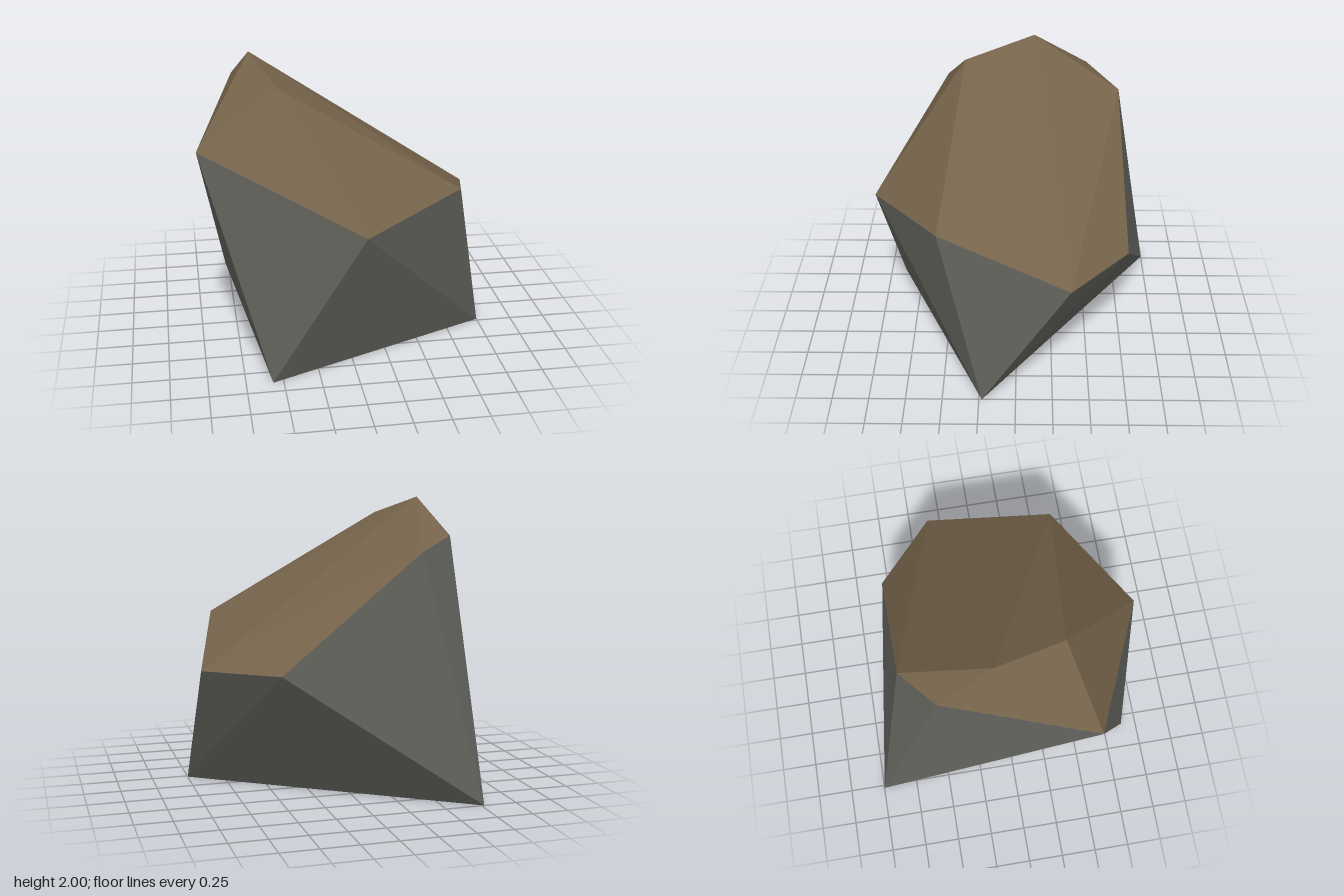
import * as THREE from 'three';

// Corners of the boulder: ground triangle, shoulder ring, crown
const corners = {
  baseBack: [-0.77, 0, -1], baseFront: [-0.57, 0, 0.89], baseSide: [1, 0, 0.23],
  west: [-1, 1.52, 0.53], south: [0.04, 1.05, 1], southEast: [0.76, 1.16, 0.52],
  east: [0.99, 0.88, -0.36], northEast: [0.54, 0.89, -0.76],
  north: [-0.42, 1.66, -0.72], northWest: [-0.7, 1.75, -0.5],
  peak: [-0.6, 2, -0.12], brow: [-0.45, 1.87, 0.37],
};

// Flat-shaded facets, each wound so that it faces away from the middle
function facets(name, triangles, material) {
  const middle = new THREE.Vector3(0, 0.9, 0);
  const points = [];
  for (const names of triangles) {
    const [a, b, c] = names.split(' ').map((n) => new THREE.Vector3(...corners[n]));
    const normal = b.clone().sub(a).cross(c.clone().sub(a));
    points.push(...(normal.dot(a.clone().sub(middle)) > 0 ? [a, b, c] : [a, c, b]));
  }
  const geometry = new THREE.BufferGeometry().setFromPoints(points);
  geometry.computeVertexNormals();
  const mesh = new THREE.Mesh(geometry, material);
  mesh.name = name;
  return mesh;
}

export function createModel() {
  const stone = new THREE.MeshStandardMaterial({ color: 0x60605b, flatShading: true });
  stone.name = 'grey stone';
  const earth = new THREE.MeshStandardMaterial({ color: 0x75634a, flatShading: true });
  earth.name = 'brown earth';

  const boulder = new THREE.Group();
  boulder.name = 'boulder';

  // Sloping brown cap
  boulder.add(facets('cap', [
    'peak brow west', 'west brow south', 'brow south southEast', 'peak brow southEast',
    'peak southEast east', 'peak east north', 'north east northEast',
    'peak north northWest', 'peak northWest west',
  ], earth));

  // Grey sides
  boulder.add(facets('sides', [
    'west south baseFront', 'south baseFront baseSide', 'south southEast baseSide',
    'southEast east baseSide', 'east northEast baseSide', 'northEast baseBack baseSide',
    'northEast north baseBack', 'north northWest baseBack', 'northWest west baseBack',
    'west baseBack baseFront',
  ], stone));

  // Flat underside
  boulder.add(facets('underside', ['baseBack baseFront baseSide'], stone));
  return boulder;
}
